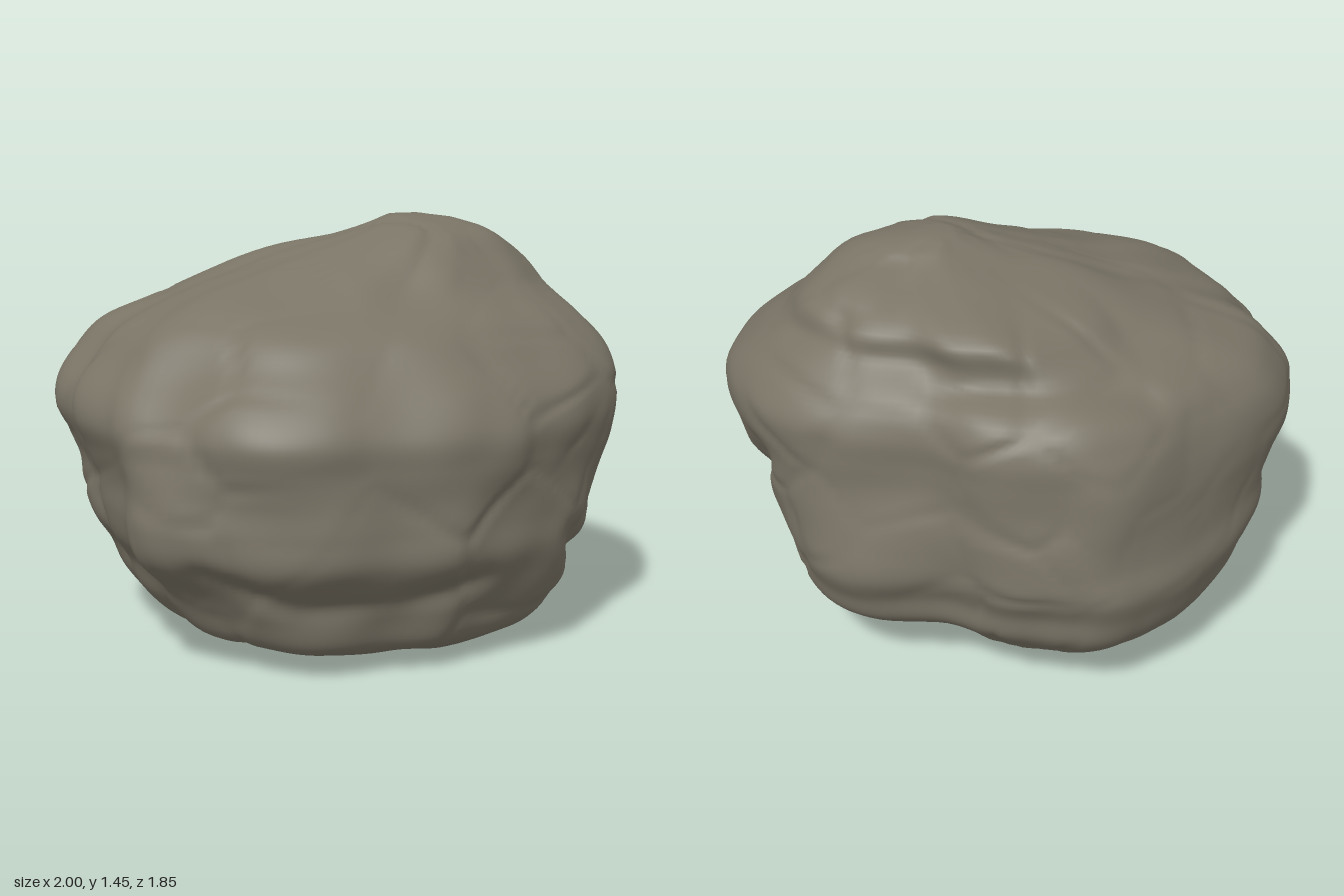
import * as THREE from 'three';

const V = (p) => new THREE.Vector3(p[0], p[1], p[2]);

// height, left and right x, back and front z of each horizontal slice
const SLICES = [
  [0.00, 0.05, 0.30, 0.15, 0.35], [0.015, -0.20, 0.45, -0.10, 0.55], [0.05, -0.50, 0.60, -0.45, 0.68],
  [0.10, -0.66, 0.67, -0.62, 0.77], [0.20, -0.77, 0.77, -0.75, 0.81], [0.30, -0.82, 0.83, -0.85, 0.86],
  [0.40, -0.88, 0.85, -0.88, 0.92], [0.50, -0.91, 0.88, -0.92, 0.92], [0.60, -0.92, 0.91, -0.91, 0.91],
  [0.70, -0.96, 0.95, -0.90, 0.91], [0.80, -1.00, 0.98, -0.89, 0.91], [0.90, -0.99, 1.00, -0.88, 0.85],
  [1.00, -0.92, 0.98, -0.86, 0.75], [1.10, -0.80, 0.89, -0.80, 0.65], [1.20, -0.56, 0.78, -0.64, 0.46],
  [1.30, -0.28, 0.70, -0.56, 0.32], [1.40, 0.06, 0.54, -0.24, 0.18], [1.455, 0.20, 0.32, -0.10, 0.02],
];

// plan outline (x, z), starting at the left side and turning to the front
const OUTLINE = [
  [1, 0], [0.97, 0.25], [0.88, 0.45], [0.75, 0.6], [0.55, 0.73], [0.35, 0.83], [0.2, 0.89], [-0.03, 0.9],
  [-0.25, 0.92], [-0.47, 0.87], [-0.65, 0.75], [-0.84, 0.58], [-0.89, 0.42], [-0.96, 0.24], [-0.95, 0.1],
  [-1, -0.06], [-0.97, -0.25], [-0.88, -0.43], [-0.74, -0.56], [-0.55, -0.7], [-0.35, -0.85],
  [-0.17, -0.92], [0.04, -0.88], [0.2, -0.82], [0.38, -0.67], [0.63, -0.57], [0.8, -0.44], [0.93, -0.25],
];

// grooves: depth, width, then the path
const GROOVES = [
  [0.05, 0.06, [[0.68, 0.4, 0.62], [0.74, 0.25, 0.32], [0.83, 0.43, 0.12], [0.9, 0.6, -0.08], [0.93, 0.76, -0.26]]],
  [0.025, 0.05, [[-0.62, 0.36, 0.72], [-0.35, 0.24, 0.84], [0, 0.24, 0.86], [0.3, 0.3, 0.8]]],
  [0.04, 0.06, [[0.6, 1.26, -0.3], [0.7, 1.17, -0.2], [0.76, 1.1, 0], [0.62, 0.93, 0.35]]],
  [0.03, 0.06, [[0.35, 1.17, -0.6], [0, 1.17, -0.68], [-0.35, 1.1, -0.66]]],
  [0.025, 0.05, [[0.72, 0.95, -0.56], [0.72, 0.6, -0.58], [0.68, 0.3, -0.56]]],
];

// broad bulges and hollows: centre, radius, height
const BULGES = [
  [[0.36, 0.7, 0.8], 0.12, 0.025], [[0.12, 0.7, 0.88], 0.11, 0.015], [[0.9, 0.58, 0.35], 0.22, 0.025],
  // back corners
  [[0.6, 0.45, -0.58], 0.32, 0.11], [[-0.5, 0.3, -0.65], 0.36, 0.09],
  // front corners
  [[-0.7, 0.5, 0.62], 0.22, 0.08], [[-0.7, 0.86, 0.55], 0.2, -0.07], [[-0.5, 1.1, 0.3], 0.2, 0.03],
  [[0.62, 0.22, 0.6], 0.26, 0.05],
];

function createRelief() {
  let seed = 7;
  const random = () => (seed = (seed * 16807) % 2147483647) / 2147483647;
  const cells = Array.from({ length: 75 }, () => {
    const a = random() * Math.PI * 2;
    const h = random() * 2 - 1;
    const s = Math.sqrt(1 - h * h);
    return new THREE.Vector3(0.95 * s * Math.cos(a), 0.72 + 0.72 * h, 0.9 * s * Math.sin(a));
  });
  const grooves = GROOVES.map(([depth, width, path]) => ({
    depth, width, lines: path.slice(1).map((p, i) => new THREE.Line3(V(path[i]), V(p))),
  }));
  const bulges = BULGES.map(([c, radius, height]) => ({ centre: V(c), radius, height }));
  const near = new THREE.Vector3();

  return (p) => {
    // soft uneven swelling
    let d = 0.007 * Math.sin(7 * p.x + 4 * p.y + 1) * Math.sin(6 * p.z - 5 * p.y)
      + 0.005 * Math.sin(15 * p.x - 9 * p.z) * Math.sin(14 * p.y + 8 * p.z);
    // shallow creases between broken faces
    let first = 9;
    let second = 9;
    for (const c of cells) {
      const r = c.distanceTo(p);
      if (r < first) { second = first; first = r; } else if (r < second) second = r;
    }
    d -= 0.011 * Math.max(0, 1 - (second - first) / 0.06) * (0.6 + 0.4 * Math.sin(5 * p.x + 7 * p.z));
    // each groove cuts at its closest stretch
    for (const { depth, width, lines } of grooves) {
      const gap = Math.min(...lines.map((line) => line.closestPointToPoint(p, true, near).distanceTo(p)));
      d -= depth * Math.exp(-((gap / width) ** 2));
    }
    for (const { centre, radius, height } of bulges) {
      d += height * Math.exp(-p.distanceToSquared(centre) / (radius * radius));
    }
    return d;
  };
}

function createBoulderGeometry() {
  const around = 180;
  const rows = 110;
  const smooth = (points, closed) => new THREE.CatmullRomCurve3(points, closed, 'catmullrom', 0.5);
  const outline = smooth(OUTLINE.map(([x, z]) => new THREE.Vector3(x, 0, z)), true);
  const widths = smooth(SLICES.map(([y, l, r]) => new THREE.Vector3(l, y, r)), false);
  const depths = smooth(SLICES.map(([y, , , b, f]) => new THREE.Vector3(b, y, f)), false);
  const ring = Array.from({ length: around }, (_, i) => outline.getPoint(i / around));
  const relief = createRelief();
  const positions = [];
  const index = [];
  // push each point outward by the relief, mostly sideways
  const add = (p) => {
    const out = new THREE.Vector3(p.x, (p.y - 0.7) * 0.7, p.z).normalize();
    p.addScaledVector(out, relief(p));
    positions.push(p.x, Math.max(0, p.y), p.z);
  };

  // stacked slices
  for (let j = 0; j <= rows; j++) {
    const w = widths.getPoint(j / rows);
    const d = depths.getPoint(j / rows);
    for (const o of ring) {
      add(new THREE.Vector3(
        (w.x + w.z) / 2 + o.x * (w.z - w.x) / 2,
        w.y,
        (d.x + d.z) / 2 + (o.z / 0.92) * (d.z - d.x) / 2,
      ));
    }
  }
  for (let j = 0; j < rows; j++) {
    for (let i = 0; i < around; i++) {
      const a = j * around + i;
      const b = j * around + (i + 1) % around;
      index.push(a, a + around, b, b, a + around, b + around);
    }
  }

  // close the underside and the crown
  const bottom = positions.length / 3;
  add(new THREE.Vector3(0.175, 0, 0.25));
  add(new THREE.Vector3(0.26, 1.458, -0.04));
  for (let i = 0; i < around; i++) {
    const n = (i + 1) % around;
    index.push(bottom, i, n, bottom + 1, rows * around + n, rows * around + i);
  }

  const geometry = new THREE.BufferGeometry();
  geometry.setAttribute('position', new THREE.Float32BufferAttribute(positions, 3));
  geometry.setIndex(index);
  geometry.computeVertexNormals();
  return geometry;
}

export function createModel() {
  const stone = new THREE.MeshStandardMaterial({ color: 0x7a7466 });
  stone.name = 'stone';
  const boulder = new THREE.Mesh(createBoulderGeometry(), stone);
  boulder.name = 'boulder';
  const model = new THREE.Group();
  model.name = 'rock';
  model.add(boulder);
  return model;
}
